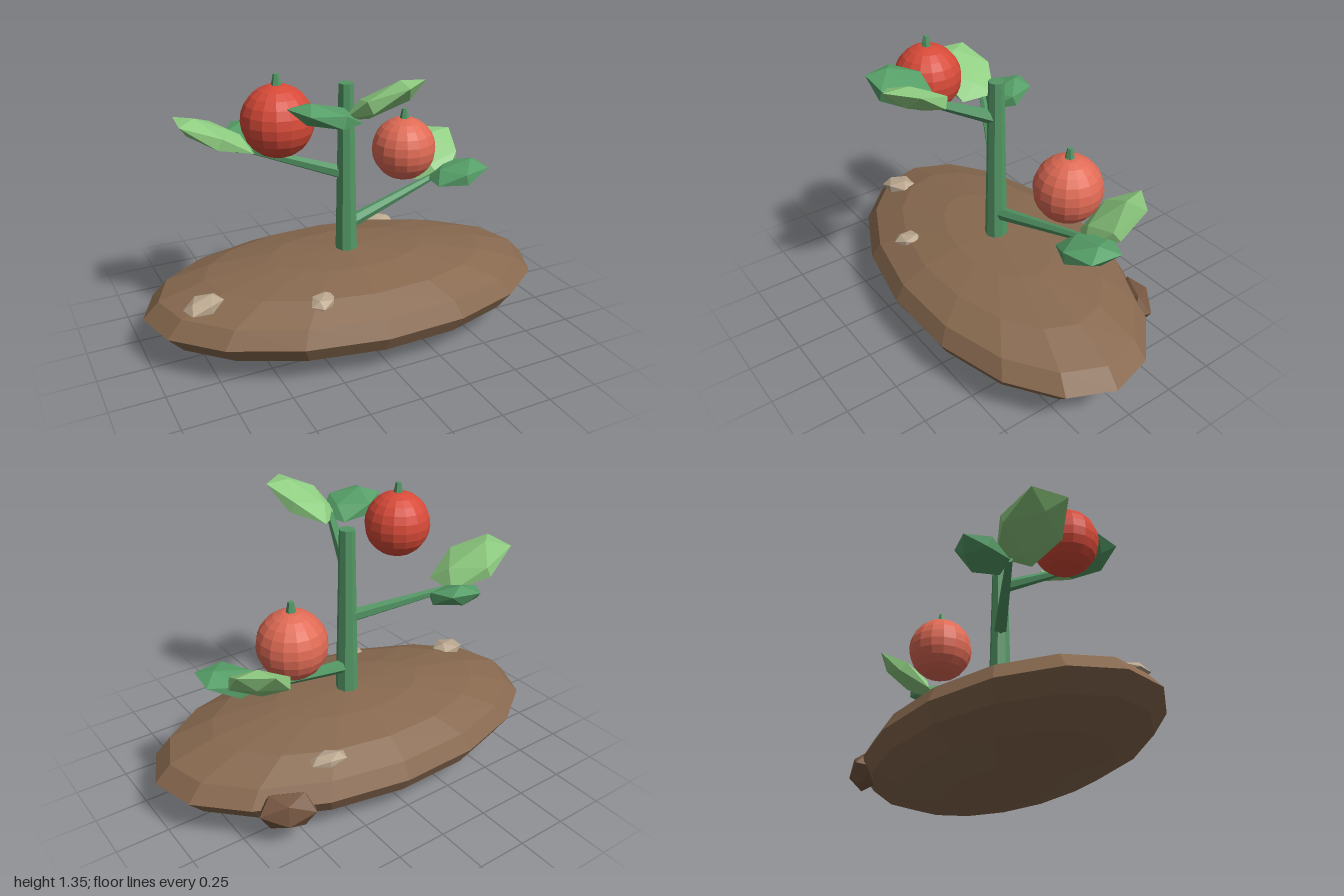
import * as THREE from 'three';

const paint = (name, color) => {
  const m = new THREE.MeshStandardMaterial({ color, flatShading: true });
  m.name = name;
  return m;
};

export function createModel() {
  const soil = paint('soil brown', 0x88694f);
  const clodBrown = paint('clod brown', 0x755640);
  const stone = paint('pebble tan', 0xbba78f);
  const stemGreen = paint('stem green', 0x539765);
  const leafLight = paint('light leaf green', 0x90ce82);
  const leafDark = paint('deep leaf green', 0x57a069);
  const red = paint('ripe red', 0xd74a38);
  const coral = paint('coral red', 0xe06b55);

  const model = new THREE.Group();
  model.name = 'fruitPlant';

  const add = (name, geometry, material, pos, parent = model) => {
    const mesh = new THREE.Mesh(geometry, material);
    mesh.name = name;
    mesh.position.set(...pos);
    parent.add(mesh);
    return mesh;
  };

  // icosahedron with the given half extents
  const lump = (x, y, z) => new THREE.IcosahedronGeometry(1 / 0.85, 0).scale(x, y, z);

  // flattened mound of earth
  const mound = add('mound', new THREE.SphereGeometry(1, 16, 8), soil, [0, 0.207, 0]);
  mound.scale.set(1.004, 0.207, 0.56);
  mound.rotation.y = -0.09;

  // clod on the rim and pebbles on top
  add('clod', lump(0.125, 0.08, 0.065), clodBrown, [0.6, 0.19, -0.395]).rotation.set(0.2, -0.43, 0.1);
  [
    [[-0.765, 0.332, 0.115], [0.085, 0.032, 0.065], 0.3, 0.15],
    [[-0.28, 0.347, 0.34], [0.065, 0.024, 0.05], 0.8, 0.1],
    [[0.36, 0.343, -0.36], [0.08, 0.024, 0.047], -0.3, -0.1],
  ].forEach(([pos, size, yaw, tilt]) => {
    add('pebble', lump(...size), stone, pos).rotation.set(0, yaw, tilt);
  });

  // trunk
  add('trunk', new THREE.CylinderGeometry(0.037, 0.057, 0.9, 8), stemGreen, [0, 0.785, 0]);

  // tapered branches
  const up = new THREE.Vector3(0, 1, 0);
  [
    [[0, 0.53, 0], [0.56, 0.655, -0.1]],
    [[0, 0.795, 0], [-0.43, 0.915, -0.225]],
    [[0, 1.05, 0], [-0.125, 1.185, 0.32]],
  ].forEach(([a, b]) => {
    const start = new THREE.Vector3(...a);
    const dir = new THREE.Vector3(...b).sub(start);
    const length = dir.length();
    const geometry = new THREE.CylinderGeometry(0.017, 0.034, length, 6).translate(0, length / 2, 0);
    add('branch', geometry, stemGreen, a).quaternion.setFromUnitVectors(up, dir.normalize());
  });

  // thick faceted leaves: centre, slope along x and z, half length and width
  const leaf = (material, pos, slopeX, slopeZ, length, width) => {
    const rise = slopeX * slopeX + slopeZ * slopeZ;
    const along = new THREE.Vector3(slopeX, rise, slopeZ).normalize();
    const normal = new THREE.Vector3(-slopeX, 1, -slopeZ).normalize();
    const across = new THREE.Vector3().crossVectors(along, normal);
    const mesh = add('leaf', lump(length, 0.045, width), material, pos);
    mesh.quaternion.setFromRotationMatrix(new THREE.Matrix4().makeBasis(along, normal, across));
  };
  leaf(leafLight, [0.595, 0.74, -0.2], 0.45, -0.65, 0.165, 0.13);
  leaf(leafDark, [0.64, 0.685, -0.02], 0.25, 0.03, 0.14, 0.125);
  leaf(leafLight, [-0.575, 1.005, -0.205], -0.48, -0.05, 0.185, 0.145);
  leaf(leafDark, [-0.37, 0.935, -0.33], 0.1, -0.4, 0.115, 0.115);
  leaf(leafLight, [-0.02, 1.26, 0.4], 0.35, 0.45, 0.17, 0.135);
  leaf(leafDark, [-0.26, 1.205, 0.34], -0.28, 0.08, 0.145, 0.125);

  // round fruits with a short stalk
  const fruit = (material, pos) => {
    const group = new THREE.Group();
    group.name = 'fruit';
    group.position.set(...pos);
    model.add(group);
    add('fruitBody', new THREE.SphereGeometry(0.161, 16, 12), material, [0, 0, 0], group);
    add('fruitStalk', new THREE.CylinderGeometry(0.013, 0.03, 0.08, 6), stemGreen, [0, 0.165, 0], group);
  };
  fruit(coral, [0.38, 0.825, -0.12]);
  fruit(red, [-0.385, 1.142, 0.12]);

  return model;
}
